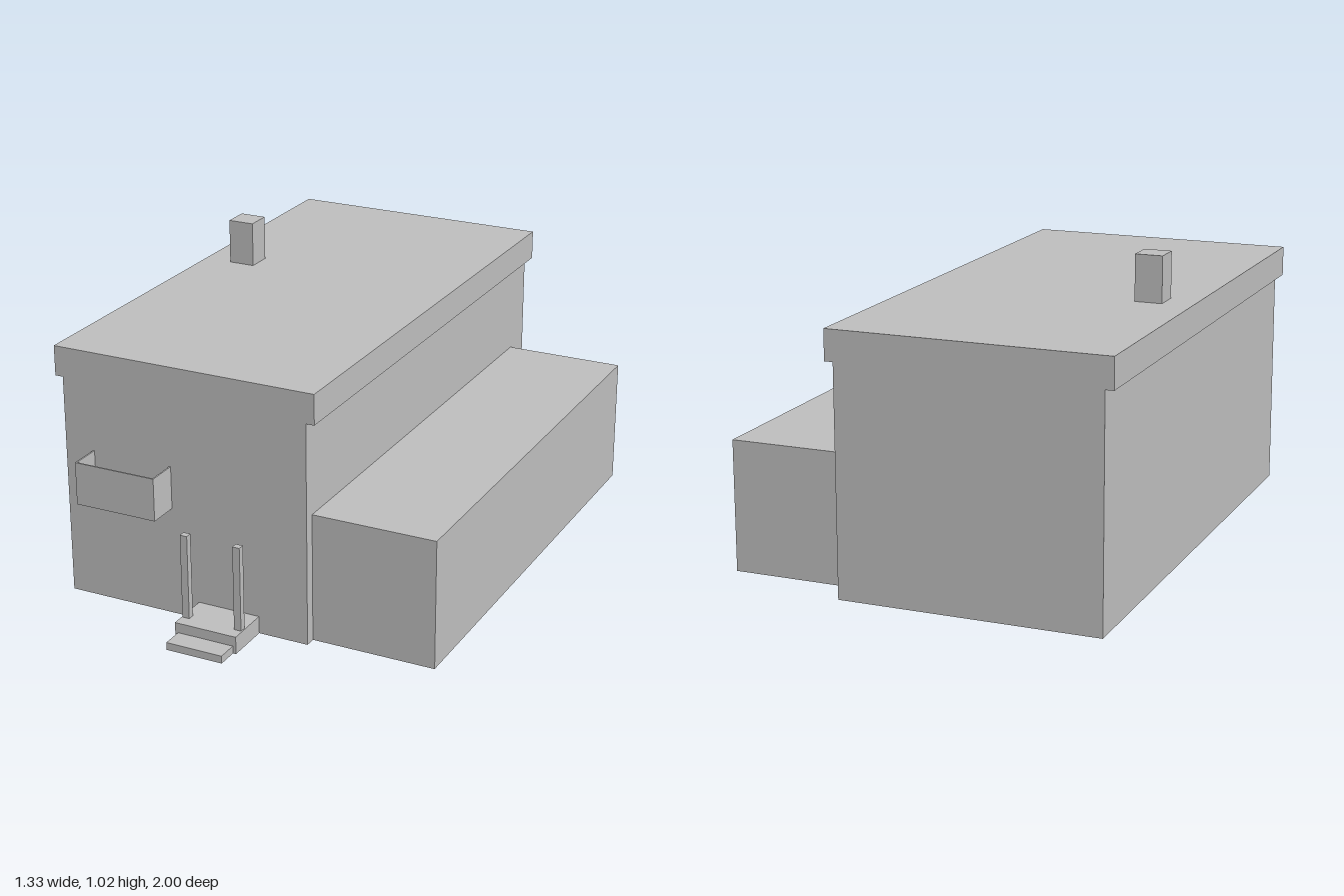
import * as THREE from 'three';

export function createModel() {
  const model = new THREE.Group();
  const grey = new THREE.MeshStandardMaterial({ color: 0xc0c0c0 });
  grey.name = 'plain grey';

  // Box given by its minimum and maximum on each axis
  const block = (name, [x0, x1], [y0, y1], [z0, z1], parent = model) => {
    const mesh = new THREE.Mesh(new THREE.BoxGeometry(x1 - x0, y1 - y0, z1 - z0), grey);
    mesh.position.set((x0 + x1) / 2, (y0 + y1) / 2, (z0 + z1) / 2);
    mesh.name = name;
    parent.add(mesh);
  };

  // Main building, overhanging flat roof, chimney and side annex
  block('mainBuilding', [-0.637, 0.238], [0, 0.76], [-1, 0.775]);
  block('flatRoof', [-0.665, 0.267], [0.76, 0.862], [-1, 0.775]);
  block('chimney', [-0.566, -0.474], [0.862, 1.016], [-0.29, -0.2]);
  block('sideAnnex', [0.238, 0.662], [0, 0.44], [-0.885, 0.738]);

  // Open balcony: floor slab with thin parapet panels
  const balcony = new THREE.Group();
  balcony.name = 'balcony';
  model.add(balcony);
  block('balconyFloor', [-0.531, -0.249], [0.376, 0.405], [0.775, 0.878], balcony);
  block('balconyFront', [-0.535, -0.246], [0.376, 0.522], [0.877, 0.882], balcony);
  for (const [name, x] of [['balconyRightSide', -0.535], ['balconyLeftSide', -0.251]]) {
    block(name, [x, x + 0.005], [0.376, 0.522], [0.775, 0.877], balcony);
  }

  // Entrance platform, lower step and two posts
  const entrance = new THREE.Group();
  entrance.name = 'entrance';
  model.add(entrance);
  block('entrancePlatform', [-0.156, 0.064], [0, 0.06], [0.775, 0.928], entrance);
  block('lowerStep', [-0.146, 0.053], [0, 0.026], [0.928, 1], entrance);
  for (const [name, x] of [['rightPost', -0.153], ['leftPost', 0.035]]) {
    block(name, [x, x + 0.025], [0.06, 0.35], [0.863, 0.886], entrance);
  }

  return model;
}
